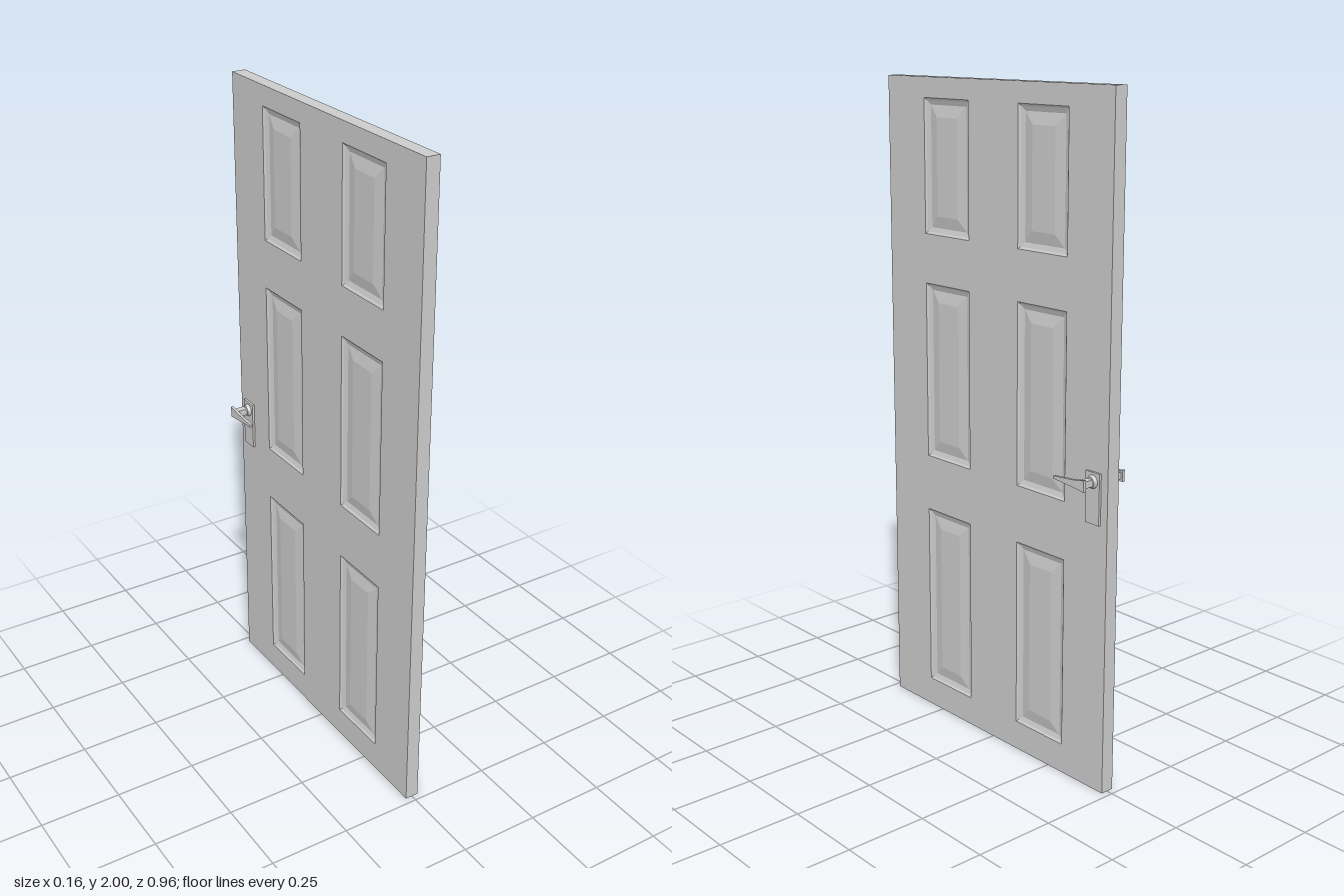
import * as THREE from 'three';

const material = new THREE.MeshStandardMaterial({ color: 0xcccccc, flatShading: true });
const HALF = 0.021;   // half the door thickness
const LATCH_Z = -0.427;

function add(parent, name, geometry, x = 0, y = 0, z = 0) {
  const mesh = new THREE.Mesh(geometry, material);
  mesh.name = name;
  mesh.position.set(x, y, z);
  parent.add(mesh);
  return mesh;
}

// Counter-clockwise corners of a rectangle, facing +z
function rect(w, h) {
  return [[-w / 2, -h / 2], [w / 2, -h / 2], [w / 2, h / 2], [-w / 2, h / 2]];
}

// Moulded panel: nested rectangles give a groove and a raised field
function panelGeometry(w, h) {
  const profile = [[0, 0], [0.006, -0.005], [0.02, -0.01], [0.055, -0.003]]; // inset, depth
  const rings = profile.map(([inset, depth]) =>
    rect(w - 2 * inset, h - 2 * inset).map(([x, y]) => [x, y, depth]));
  const position = [];
  const quad = (a, b, c, d) => position.push(...a, ...b, ...c, ...a, ...c, ...d);
  for (let r = 0; r < rings.length - 1; r++) {
    for (let i = 0; i < 4; i++) {
      const j = (i + 1) % 4;
      quad(rings[r][i], rings[r][j], rings[r + 1][j], rings[r + 1][i]);
    }
  }
  quad(...rings[rings.length - 1]);
  const geometry = new THREE.BufferGeometry();
  geometry.setAttribute('position', new THREE.Float32BufferAttribute(position, 3));
  geometry.computeVertexNormals();
  return geometry;
}

// Handle set on the +x face
function createHandle() {
  const handle = new THREE.Group();
  add(handle, 'backPlate', new THREE.BoxGeometry(0.008, 0.15, 0.054), HALF + 0.003, 0.885, LATCH_Z);

  // Rose with a bevelled rim
  const rose = new THREE.CylinderGeometry(0.016, 0.02, 0.011, 16);
  rose.rotateZ(-Math.PI / 2);
  add(handle, 'rose', rose, 0.033, 0.933, LATCH_Z);

  add(handle, 'spindle', new THREE.BoxGeometry(0.044, 0.02, 0.022), 0.058, 0.933, LATCH_Z - 0.001);

  // Flat lever, tapering towards its free end
  const outline = new THREE.Shape([
    [-0.445, 0.916], [-0.40, 0.922], [-0.324, 0.929],
    [-0.324, 0.937], [-0.40, 0.943], [-0.445, 0.95],
  ].map(([z, y]) => new THREE.Vector2(-z, y)));
  const lever = new THREE.ExtrudeGeometry(outline, { depth: 0.009, bevelEnabled: false });
  lever.rotateY(Math.PI / 2);
  add(handle, 'lever', lever, 0.071, 0, 0);
  return handle;
}

export function createModel() {
  const door = new THREE.Group();
  door.name = 'door';

  // Centre and size of the six panel openings
  const openings = [];
  for (const [low, high] of [[0.09, 0.67], [0.845, 1.39], [1.54, 1.94]]) {
    for (const z of [-0.208, 0.208]) {
      openings.push({ z, y: (low + high) / 2, w: 0.202, h: high - low });
    }
  }

  // Slab of stiles and rails with the openings cut out
  const slabShape = new THREE.Shape(rect(0.96, 2).map(([u, y]) => new THREE.Vector2(u, y + 1)));
  for (const { z, y, w, h } of openings) {
    slabShape.holes.push(new THREE.Path(rect(w, h).map(([u, v]) => new THREE.Vector2(u + z, v + y))));
  }
  const slab = new THREE.ExtrudeGeometry(slabShape, { depth: 2 * HALF, bevelEnabled: false });
  slab.translate(0, 0, -HALF).rotateY(-Math.PI / 2);
  add(door, 'slab', slab);

  // A panel in each opening on both faces
  for (const side of [1, -1]) {
    for (const { z, y, w, h } of openings) {
      const panel = add(door, 'panel', panelGeometry(w, h), side * HALF, y, z);
      panel.rotation.y = side * Math.PI / 2;
    }
    const handle = createHandle();
    handle.name = side > 0 ? 'leftHandle' : 'rightHandle';
    handle.scale.x = side;
    door.add(handle);
  }
  return door;
}
